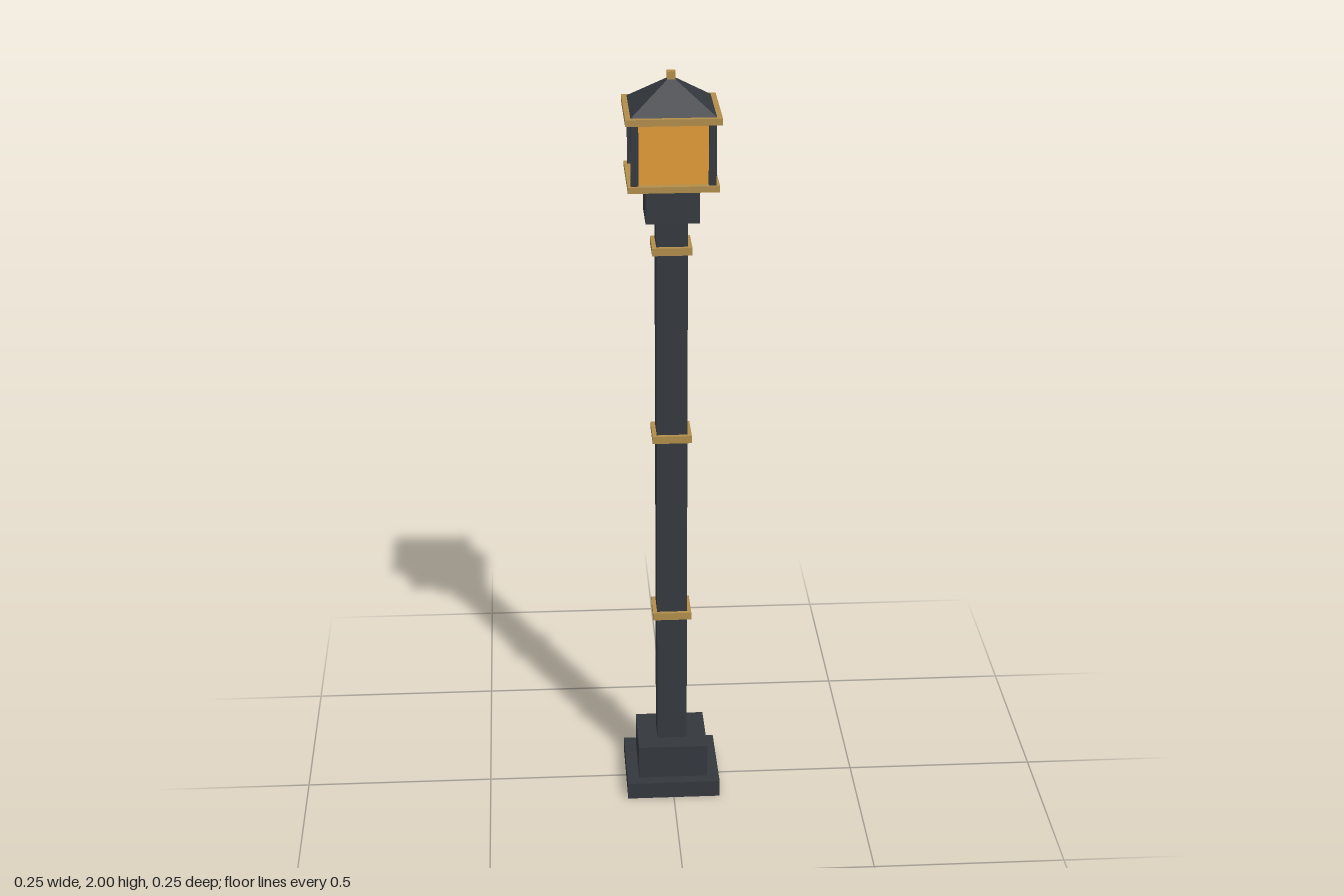
import * as THREE from 'three';

export function createModel() {
  const model = new THREE.Group();
  model.name = 'lampPost';
  const mat = (color) => new THREE.MeshStandardMaterial({ color, flatShading: true });
  const iron = mat(0x34383d), brass = mat(0xb08d4a), amber = mat(0xe09a35);

  // Square block spanning y0 to y1
  const block = (name, width, y0, y1, material, x = 0, z = 0) => {
    const mesh = new THREE.Mesh(new THREE.BoxGeometry(width, y1 - y0, width), material);
    mesh.name = name;
    mesh.position.set(x, (y0 + y1) / 2, z);
    model.add(mesh);
  };

  // Stepped base, post and neck
  block('baseSlab', 0.25, 0, 0.046, iron);
  block('basePlinth', 0.186, 0.046, 0.139, iron);
  block('post', 0.08, 0.139, 1.626, iron);
  block('neck', 0.136, 1.626, 1.721, iron);

  // Trim bands around the post
  for (const y of [0.516, 1.031, 1.546]) block('postBand', 0.102, y - 0.01, y + 0.01, brass);

  // Lantern: trims, glowing glass and corner bars
  block('lanternBottomTrim', 0.228, 1.721, 1.737, brass);
  block('lanternGlass', 0.19, 1.737, 1.893, amber);
  for (const x of [-1, 1])
    for (const z of [-1, 1])
      block('cornerBar', 0.019, 1.737, 1.893, iron, x * 0.0965, z * 0.0965);
  block('lanternTopTrim', 0.239, 1.893, 1.91, brass);

  // Pyramid roof
  const roofGeometry = new THREE.ConeGeometry(0.106 * Math.SQRT2, 0.078, 4);
  roofGeometry.rotateY(Math.PI / 4);
  const roof = new THREE.Mesh(roofGeometry, iron);
  roof.name = 'roof';
  roof.position.y = 1.949;
  model.add(roof);

  block('finial', 0.021, 1.979, 2, brass);
  return model;
}
